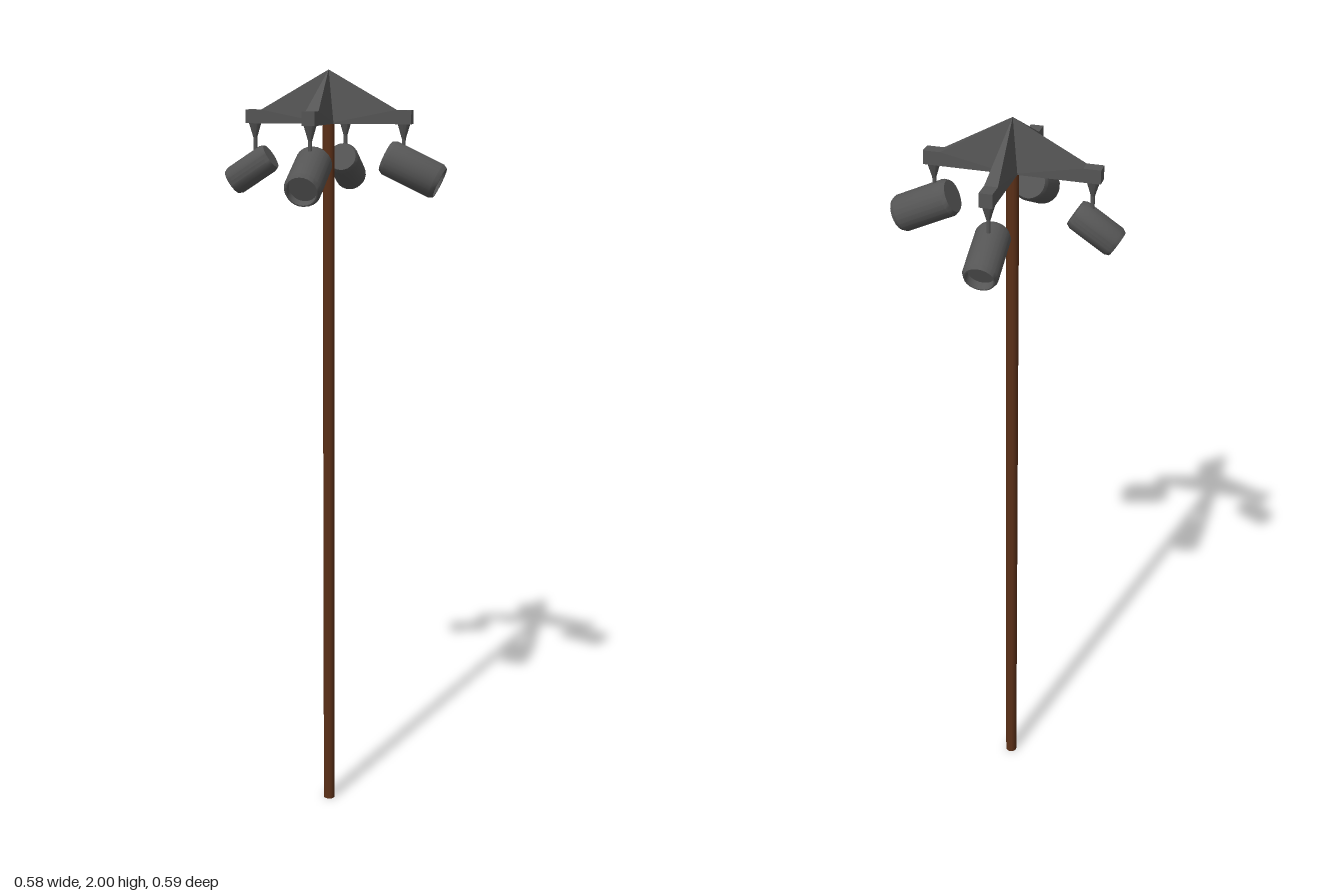
import * as THREE from 'three';
import { toCreasedNormals } from 'three/addons/utils/BufferGeometryUtils.js';
import { ConvexGeometry } from 'three/addons/geometries/ConvexGeometry.js';

const metal = new THREE.MeshStandardMaterial({ color: 0x555555 });
const wood = new THREE.MeshStandardMaterial({ color: 0x5a2f17 });

const HALF_WIDTH = 0.016, REACH = 0.214, BLOCK = 0.042;
const BASE = 1.868, BLOCK_TOP = 1.902, PEAK = 2;

function addMesh(parent, name, geometry, material, x = 0, y = 0, z = 0) {
  const mesh = new THREE.Mesh(geometry, material);
  mesh.name = name;
  mesh.position.set(x, y, z);
  parent.add(mesh);
  return mesh;
}

// Spotlight can along y: bevelled closed back, bevelled rim and recessed lens at +y
function lampGeometry(radius, length) {
  const h = length / 2, c = 0.011;
  const profile = [
    [0, -h], [radius * 0.87, -h], [radius, -h + c], [radius, h - c],
    [radius * 0.87, h], [radius * 0.8, h], [radius * 0.78, h - 0.02], [0, h - 0.02],
  ].map(([x, y]) => new THREE.Vector2(x, y));
  return toCreasedNormals(new THREE.LatheGeometry(profile, 24), 0.5);
}

// Wedge rising from the end block to a point above the pole
function wedgeGeometry() {
  const inner = REACH - BLOCK;
  const points = [new THREE.Vector3(0, PEAK, 0)];
  for (const z of [-HALF_WIDTH, HALF_WIDTH]) {
    points.push(
      new THREE.Vector3(0, BASE, z),
      new THREE.Vector3(inner, BASE, z),
      new THREE.Vector3(inner, BLOCK_TOP, z),
    );
  }
  return new ConvexGeometry(points);
}

// One arm pointing along +x with its hanger and lamp
function createArm({ name, turn, radius, length, tilt, out, y, yaw = 0 }) {
  const arm = new THREE.Group();
  arm.name = name;
  arm.rotation.y = turn;

  addMesh(arm, 'armWedge', wedgeGeometry(), metal);
  addMesh(arm, 'endBlock',
    new THREE.BoxGeometry(BLOCK, BLOCK_TOP - BASE, HALF_WIDTH * 2), metal,
    REACH - BLOCK / 2, (BASE + BLOCK_TOP) / 2);

  // Tapered hanger and thin stem
  const hangerX = REACH - BLOCK / 2;
  const taper = toCreasedNormals(new THREE.CylinderGeometry(0.016, 0.005, 0.036, 12), 0.6);
  addMesh(arm, 'hangerTaper', taper, metal, hangerX, BASE - 0.018);
  addMesh(arm, 'hangerStem', new THREE.CylinderGeometry(0.005, 0.005, 0.045, 10), metal,
    hangerX, BASE - 0.056);

  // Lamp tilted outward and down
  const mount = new THREE.Group();
  mount.name = 'lampMount';
  mount.position.set(out, y, 0);
  mount.rotation.y = yaw;
  arm.add(mount);
  const lamp = addMesh(mount, 'lamp', lampGeometry(radius, length), metal);
  lamp.rotation.z = -Math.PI / 2 - THREE.MathUtils.degToRad(tilt);
  return arm;
}

export function createModel() {
  const model = new THREE.Group();
  model.name = 'lampPost';
  const post = new THREE.Group();
  post.name = 'post';
  post.position.set(-0.015, 0, -0.008);
  model.add(post);

  // Pole
  const poleHeight = 1.89;
  const pole = toCreasedNormals(new THREE.CylinderGeometry(0.0155, 0.0155, poleHeight, 16), 0.6);
  addMesh(post, 'pole', pole, wood, 0, poleHeight / 2);

  // Four arms, each with a lamp of its own size and tilt
  const arms = [
    { name: 'leftArm', turn: 0, radius: 0.0455, length: 0.152, tilt: 25, out: 0.217, y: 1.757 },
    { name: 'rightArm', turn: Math.PI, radius: 0.0375, length: 0.123, tilt: 33, out: 0.204, y: 1.752 },
    { name: 'frontArm', turn: -Math.PI / 2, radius: 0.0455, length: 0.15, tilt: 26, out: 0.213, y: 1.75 },
    { name: 'backArm', turn: Math.PI / 2, radius: 0.042, length: 0.142, tilt: 24, out: 0.208, y: 1.75, yaw: 0.025 },
  ];
  for (const arm of arms) post.add(createArm(arm));
  return model;
}
